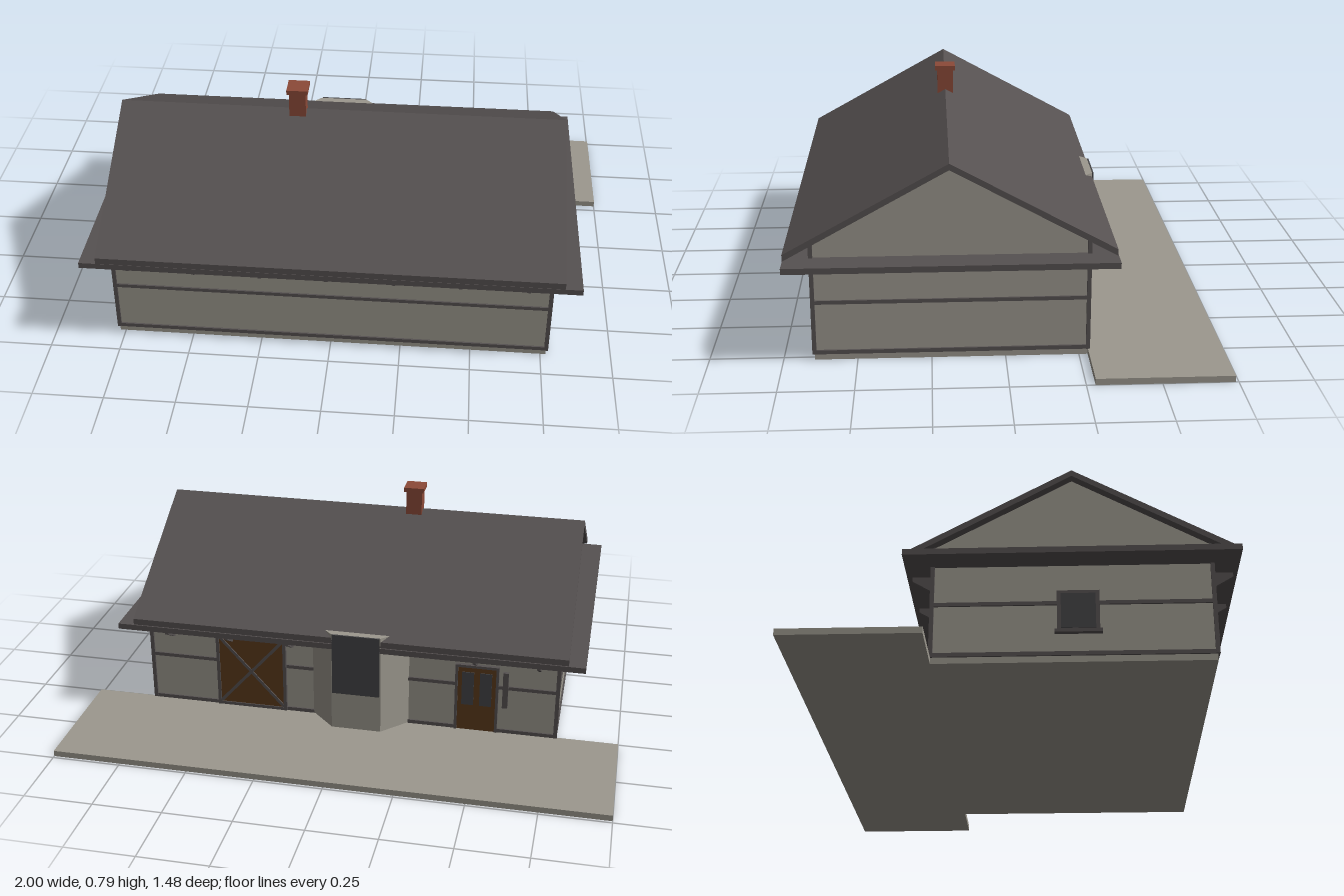
import * as THREE from 'three';

const mat = (name, color) => {
  const m = new THREE.MeshStandardMaterial({ color });
  m.name = name;
  return m;
};

export function createModel() {
  const house = new THREE.Group();
  house.name = 'house';
  const plaster = mat('plaster', 0x9c988e);
  const slate = mat('dark slate', 0x565151);
  const brick = mat('brick', 0x8c4a38);
  const wood = mat('brown wood', 0x5c3a1c);
  const glass = mat('dark glass', 0x444446);

  const add = (name, geo, material, parent = house) => {
    const m = new THREE.Mesh(geo, material);
    m.name = name;
    parent.add(m);
    return m;
  };
  // Box given by its limits on each axis
  const box = (name, material, [x0, x1], [y0, y1], [z0, z1], parent = house) => {
    const m = add(name, new THREE.BoxGeometry(x1 - x0, y1 - y0, z1 - z0), material, parent);
    m.position.set((x0 + x1) / 2, (y0 + y1) / 2, (z0 + z1) / 2);
    return m;
  };
  // Profile of [z, y] points, extruded along x
  const sideExtrude = (points, x0, x1) => {
    const shape = new THREE.Shape(points.map(([z, y]) => new THREE.Vector2(-z, y)));
    const geo = new THREE.ExtrudeGeometry(shape, { depth: x1 - x0, bevelEnabled: false });
    return geo.rotateY(Math.PI / 2).translate(x0, 0, 0);
  };

  const W = 0.77, ZB = -0.28, ZF = 0.645, RZ = 0.185;

  // Terrace and gabled body
  box('terrace', plaster, [-1, 1], [0, 0.022], [-0.74, ZB]);
  add('walls', sideExtrude([[ZB, 0], [ZF, 0], [ZF, 0.43], [RZ, 0.685], [ZB, 0.43]], -W, W), plaster);

  // Roof: one folded slab
  add('roof', sideExtrude([
    [0.735, 0.372], [0.735, 0.395], [RZ, 0.7], [-0.37, 0.395], [-0.37, 0.372], [RZ, 0.678],
  ], -0.805, 0.805), slate);
  box('eavesBoard', slate, [-0.865, 0.865], [0.35, 0.371], [-0.373, 0.735]);

  // Timber rails and corner posts
  const t = 0.006;
  for (const [y0, y1] of [[0.022, 0.036], [0.204, 0.217]]) {
    box('frontRail', slate, [-W, W], [y0, y1], [ZF, ZF + t]);
    for (const [a, b] of [[-W, -0.22], [0.14, W]]) box('backRail', slate, [a, b], [y0, y1], [ZB - t, ZB]);
    for (const s of [-1, 1]) {
      const x = s * (W + t / 2);
      box('sideRail', slate, [x - t / 2, x + t / 2], [y0, y1], [ZB, ZF]);
    }
  }
  for (const s of [-1, 1]) for (const z of [ZB, ZF]) {
    box('cornerPost', slate, [s * W - 0.007, s * W + 0.007], [0.022, 0.425], [z - 0.007, z + 0.007]);
  }

  // Eaves brackets, front and back
  for (let i = 0; i < 7; i++) {
    const x = -0.7 + i * 0.2308;
    for (const [z, d] of [[ZF, 1], [ZB, -1]]) {
      if (d < 0 && x > -0.25 && x < 0.17) continue;
      const p = [[z, 0.29], [z + d * 0.075, 0.335], [z + d * 0.075, 0.352], [z, 0.352]];
      add('eavesBracket', sideExtrude(d > 0 ? p : p.reverse(), x - 0.006, x + 0.006), slate);
    }
  }

  // Chimney
  box('chimney', brick, [-0.187, -0.127], [0.66, 0.78], [0.155, 0.215]);
  box('chimneyCap', brick, [-0.195, -0.119], [0.776, 0.793], [0.147, 0.223]);

  // Angled bay at the back, with a wide window
  const bay = new THREE.Shape([
    [-0.222, 0.28], [0.142, 0.28], [0.052, 0.37], [-0.132, 0.37],
  ].map(([x, y]) => new THREE.Vector2(x, y)));
  const bayGeo = new THREE.ExtrudeGeometry(bay, { depth: 0.388, bevelEnabled: false });
  add('bay', bayGeo.rotateX(-Math.PI / 2).translate(0, 0.022, 0), plaster);
  box('bayWindow', glass, [-0.128, 0.048], [0.17, 0.41], [-0.376, -0.37]);

  // Flat frame around an opening in the back wall
  const frame = (x0, x1, y0, y1, w, parent) => {
    const z = [ZB - 0.014, ZB];
    box('frameSide', slate, [x0, x0 + w], [y0, y1], z, parent);
    box('frameSide', slate, [x1 - w, x1], [y0, y1], z, parent);
    box('frameTop', slate, [x0, x1], [y1 - w, y1], z, parent);
  };

  // Barn door with crossed braces
  const barn = new THREE.Group();
  barn.name = 'barnDoor';
  house.add(barn);
  box('barnDoorPanel', wood, [0.25, 0.51], [0.024, 0.32], [ZB - 0.009, ZB], barn);
  frame(0.245, 0.515, 0.024, 0.325, 0.012, barn);
  box('barnDoorSill', slate, [0.25, 0.51], [0.024, 0.036], [ZB - 0.013, ZB], barn);
  for (const s of [-1, 1]) {
    const brace = add('barnDoorBrace', new THREE.BoxGeometry(0.37, 0.011, 0.005), slate, barn);
    brace.position.set(0.38, 0.177, ZB - 0.011);
    brace.rotation.z = s * Math.atan2(0.28, 0.25);
  }

  // Entrance door with glazed upper half
  const door = new THREE.Group();
  door.name = 'entranceDoor';
  house.add(door);
  box('doorPanel', wood, [-0.55, -0.4], [0.024, 0.29], [ZB - 0.009, ZB], door);
  frame(-0.555, -0.395, 0.024, 0.295, 0.01, door);
  for (const x of [-0.508, -0.442]) {
    box('doorPane', glass, [x - 0.022, x + 0.022], [0.13, 0.265], [ZB - 0.012, ZB - 0.008], door);
  }
  box('wallShutter', slate, [-0.59, -0.57], [0.13, 0.275], [ZB - 0.012, ZB], house);

  // Window on the right gable wall
  box('sideWindowFrame', slate, [-W - 0.008, -W], [0.105, 0.255], [0.13, 0.27]);
  box('sideWindowPane', glass, [-W - 0.011, -W - 0.007], [0.118, 0.243], [0.143, 0.257]);
  box('sideWindowSill', slate, [-W - 0.018, -W], [0.1, 0.112], [0.122, 0.278]);

  return house;
}
